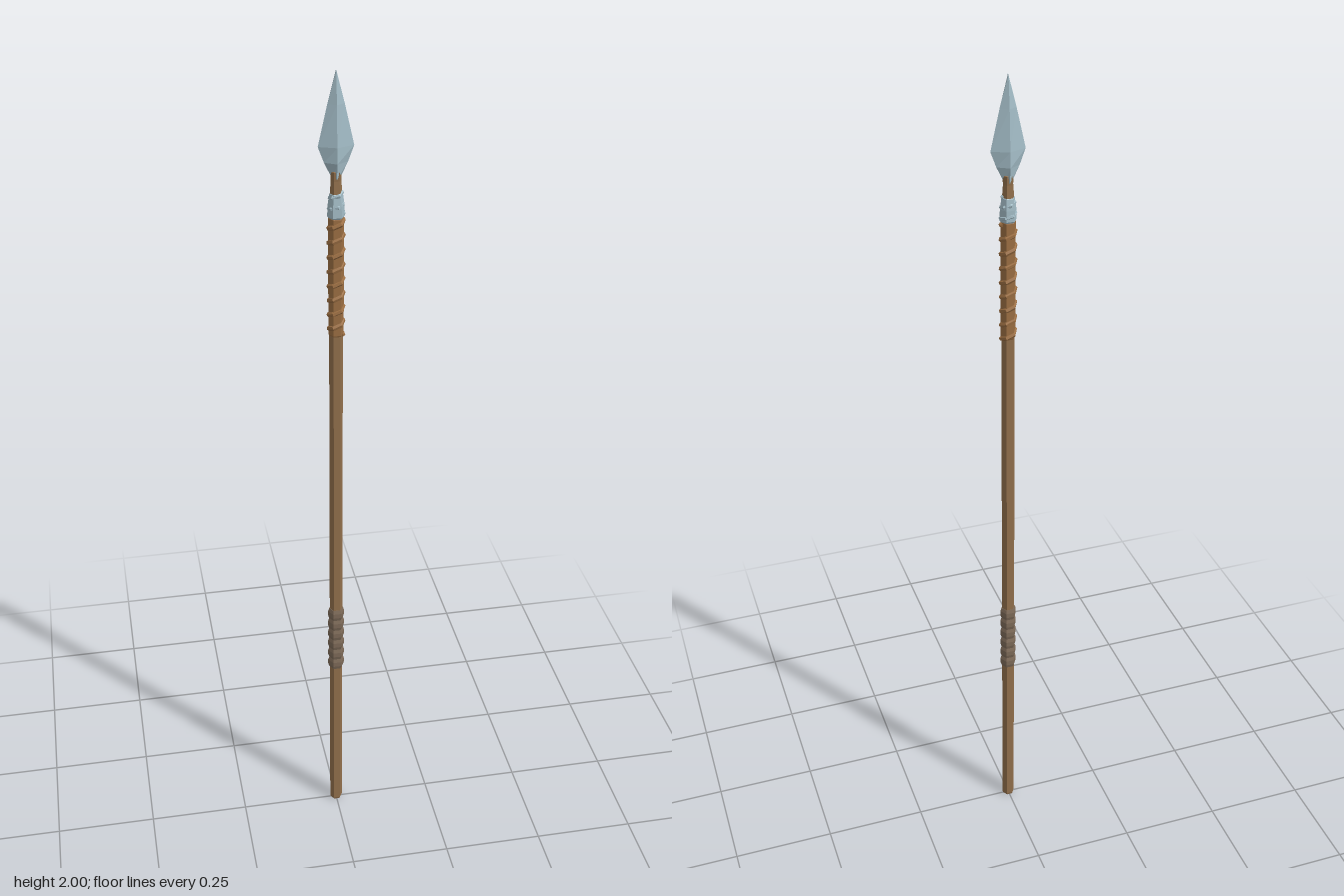
import * as THREE from 'three';

const material = (color) => new THREE.MeshStandardMaterial({ color, flatShading: true });

export function createModel() {
  const spear = new THREE.Group();
  const wood = material(0x92704c);
  const leather = material(0x9c6f43);
  const gripLeather = material(0x7d6a58);
  const steel = material(0xa3bcc6);

  const add = (name, geometry, mat) => {
    const mesh = new THREE.Mesh(geometry, mat);
    mesh.name = name;
    spear.add(mesh);
    return mesh;
  };

  // Surface of revolution with six sides, corners on the x axis
  const turned = (name, profile, mat) => {
    const points = profile.map(([r, y]) => new THREE.Vector2(r, y));
    return add(name, new THREE.LatheGeometry(points, 6, Math.PI / 2), mat);
  };

  // Cord wound around the shaft, rising to the right at the front
  const winding = (name, y0, y1, turns, r0, r1, thickness, mat) => {
    const points = [];
    const steps = turns * 6;
    for (let i = 0; i <= steps; i++) {
      const t = i / steps;
      const a = (i * Math.PI) / 3;
      const r = r0 + (r1 - r0) * t;
      points.push(new THREE.Vector3(r * Math.cos(a), y0 + (y1 - y0) * t, -r * Math.sin(a)));
    }
    const curve = new THREE.CatmullRomCurve3(points);
    const cord = add(name, new THREE.TubeGeometry(curve, steps, thickness, 6), mat);
    // Close the two cord ends
    [points[0], points[steps]].forEach((p) => {
      const end = add(name + 'End', new THREE.IcosahedronGeometry(thickness, 0), mat);
      end.position.copy(p);
    });
    return cord;
  };

  // Shaft
  turned('shaft', [[0, 0], [0.014, 0], [0.016, 0.006], [0.016, 1.0], [0.0155, 1.7], [0, 1.7]], wood);

  // Lower grip: a stack of bulging leather bands
  const bands = 6;
  const bandHeight = 0.185 / bands;
  const grip = [[0.015, 0.455]];
  for (let i = 0; i < bands; i++) {
    const y = 0.455 + i * bandHeight;
    grip.push([0.0175, y], [0.0205, y + bandHeight * 0.3], [0.0205, y + bandHeight * 0.7]);
  }
  grip.push([0.0175, 0.64], [0.015, 0.64]);
  turned('lowerGrip', grip, gripLeather);

  // Upper cord wrapping
  turned('wrapCore', [[0.015, 1.4], [0.0175, 1.405], [0.0175, 1.68], [0.015, 1.685]], leather);
  winding('wrapCord', 1.402, 1.675, 8, 0.0155, 0.0155, 0.0062, leather);

  // Socket under the blade, with its binding
  turned('socketNeck', [[0, 1.67], [0.017, 1.67], [0.0165, 1.7], [0.0115, 1.765], [0.0125, 1.785], [0, 1.79]], wood);
  turned('socketBand', [[0.016, 1.68], [0.0195, 1.685], [0.0185, 1.71], [0.015, 1.735], [0.013, 1.737]], steel);
  winding('socketBinding', 1.69, 1.738, 2, 0.0165, 0.0125, 0.005, steel);

  // Blade: diamond sections as [y, half width, half depth], from tip to base
  const sections = [
    [2.0, 0.0005, 0.003],
    [1.93, 0.0185, 0.0105],
    [1.84, 0.039, 0.0155],
    [1.805, 0.026, 0.0165],
    [1.77, 0.009, 0.012],
  ];
  const blade = new THREE.CylinderGeometry(1, 1, 1, 4, sections.length - 1);
  const pos = blade.attributes.position;
  for (let i = 0; i < pos.count; i++) {
    const row = Math.round((0.5 - pos.getY(i)) * (sections.length - 1));
    const [y, w, d] = sections[row];
    pos.setXYZ(i, pos.getX(i) * w, y, pos.getZ(i) * d);
  }
  blade.computeVertexNormals();
  add('blade', blade, steel);

  return spear;
}
